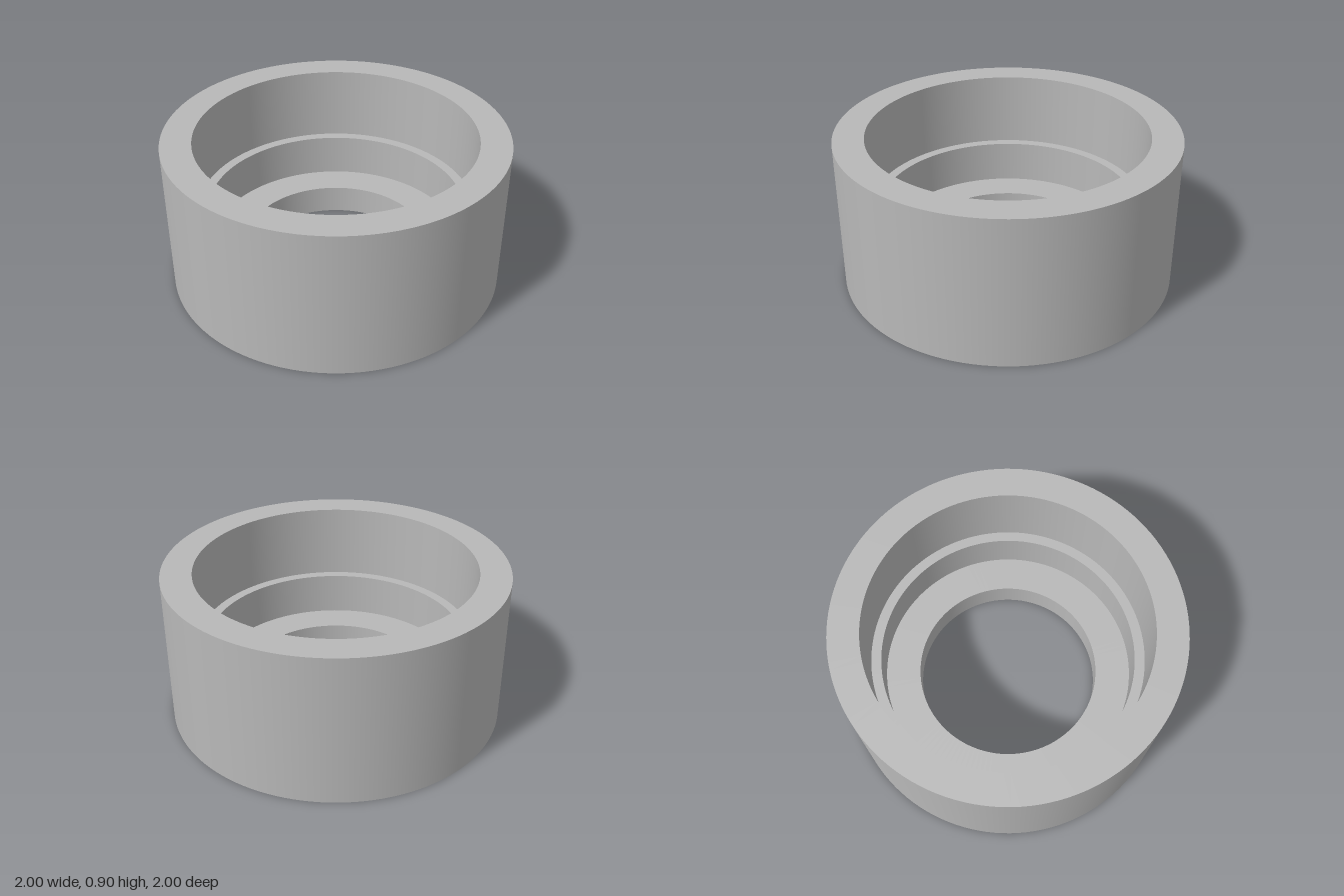
import * as THREE from 'three';

const SEGMENTS = 128;

export function createModel() {
  const group = new THREE.Group();
  group.name = 'steppedBushing';

  const metal = new THREE.MeshStandardMaterial({ color: 0xb8b8b8 });
  metal.name = 'plain grey';

  // Closed cross-section (radius, height), running counter-clockwise
  const profile = [
    ['bottomFace', 0.55, 0],
    ['outerWall', 1, 0],
    ['topRim', 1, 0.9],
    ['upperBore', 0.82, 0.9],
    ['ledge', 0.82, 0.445],
    ['middleBore', 0.76, 0.445],
    ['floor', 0.76, 0.18],
    ['lowerHole', 0.55, 0.18],
  ];

  // One lathe per edge keeps walls smooth and corners sharp
  profile.forEach(([name, r, y], i) => {
    const [, r2, y2] = profile[(i + 1) % profile.length];
    const edge = [new THREE.Vector2(r, y), new THREE.Vector2(r2, y2)];
    const mesh = new THREE.Mesh(new THREE.LatheGeometry(edge, SEGMENTS), metal);
    mesh.name = name;
    group.add(mesh);
  });

  return group;
}
